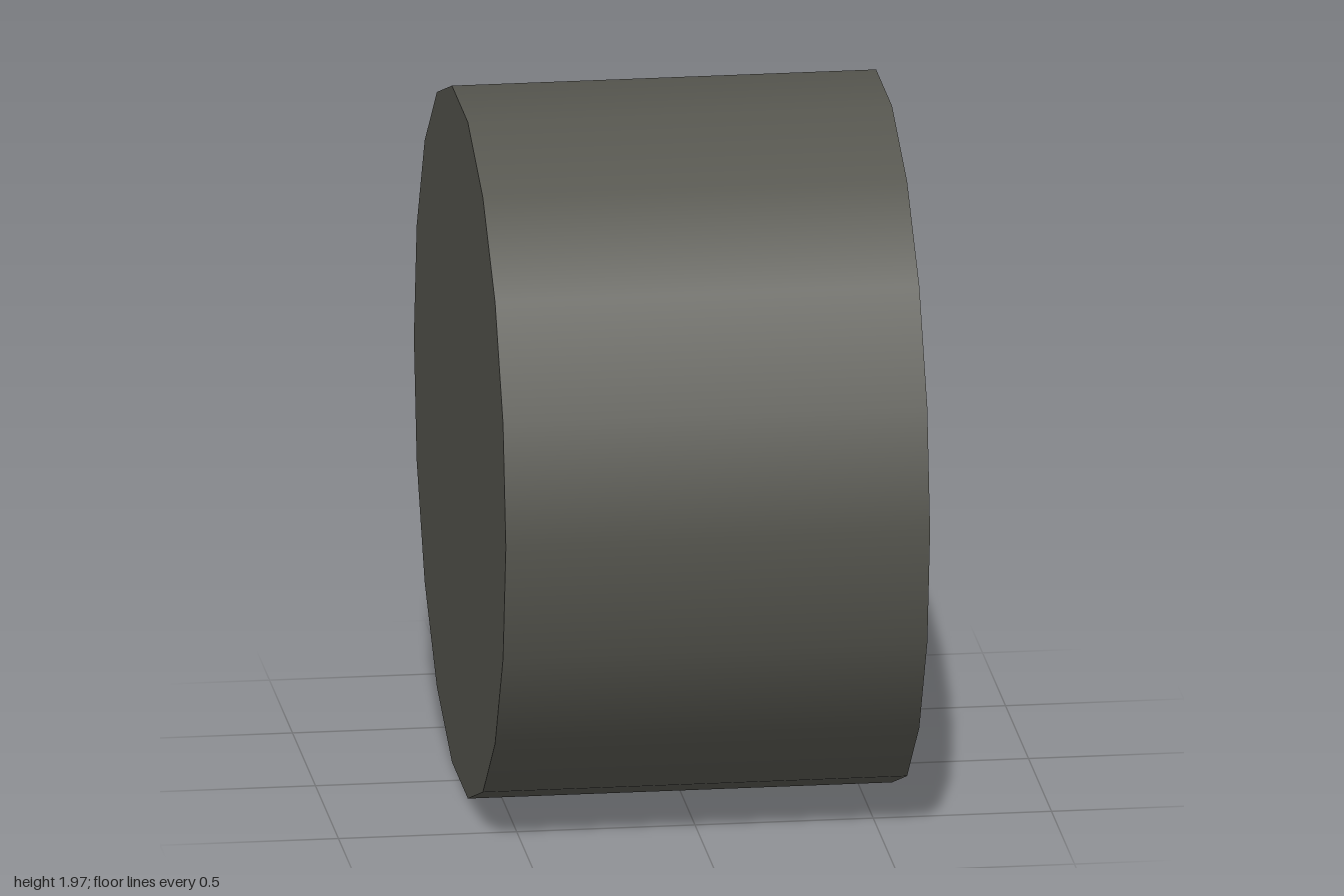
import * as THREE from 'three';

const SIDES = 18;
const OUTER = 1, INNER = 0.775;
const HALF = 0.595;                        // half the width along x
const FLOOR = 0.06;                        // x of the recess floor
const TIP = 0.26;                          // x of the hub point
const AXLE = Math.cos(Math.PI / SIDES);    // centre height, so a flat side rests on y = 0

export function createModel() {
  const model = new THREE.Group();
  const rubber = new THREE.MeshStandardMaterial({ color: 0x55554e });
  rubber.name = 'darkGrey';

  const add = (name, geometry, x) => {
    const mesh = new THREE.Mesh(geometry, rubber);
    mesh.name = name;
    mesh.position.set(x, AXLE, 0);
    model.add(mesh);
  };
  // open tube or cone lying along x
  const tube = (rTop, rBottom, length, sides) =>
    new THREE.CylinderGeometry(rTop, rBottom, length, sides, 1, true).rotateZ(-Math.PI / 2);
  const faceted = (geometry) => {
    const flat = geometry.toNonIndexed();
    flat.computeVertexNormals();
    return flat;
  };

  // smooth tread and flat closed back
  add('tread', tube(OUTER, OUTER, 2 * HALF, SIDES), 0);
  add('closedSide', new THREE.CircleGeometry(OUTER, SIDES).rotateY(-Math.PI / 2), -HALF);

  // open side: rim, faceted recess wall facing inward, floor
  add('rim', new THREE.RingGeometry(INNER, OUTER, SIDES).rotateY(Math.PI / 2), HALF);
  const wall = tube(INNER, INNER, HALF - FLOOR, SIDES);
  wall.index.array.reverse();
  add('recessWall', faceted(wall), (HALF + FLOOR) / 2);
  add('recessFloor', new THREE.CircleGeometry(INNER, SIDES).rotateY(Math.PI / 2), FLOOR);

  // pointed hub
  add('hubCone', faceted(tube(0, 0.205, TIP - FLOOR, 16)), (TIP + FLOOR) / 2);

  return model;
}
